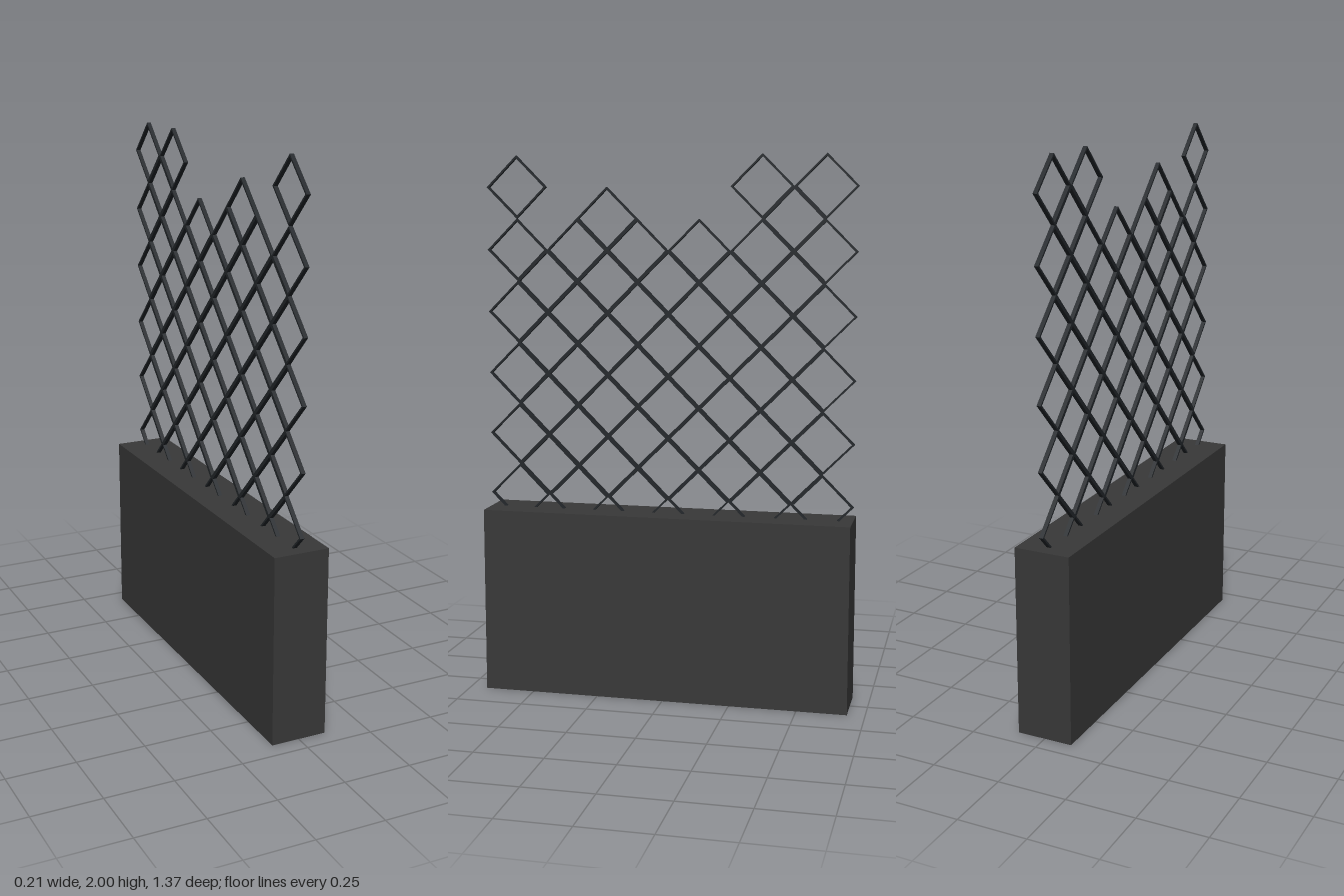
import * as THREE from 'three';

export function createModel() {
  const model = new THREE.Group();
  const boxMaterial = new THREE.MeshStandardMaterial({ color: 0x383838 });
  const wireMaterial = new THREE.MeshStandardMaterial({ color: 0x22262a });

  // Solid planter base
  const planter = new THREE.Mesh(new THREE.BoxGeometry(0.206, 0.692, 1.37), boxMaterial);
  planter.name = 'planterBox';
  planter.position.y = 0.346;
  model.add(planter);

  // One thin diamond frame, extruded across x
  const step = 0.1143; // half diagonal, also the lattice spacing
  const bar = 0.0095; // bar width measured along the diagonal
  const depth = 0.015;
  const diamond = (r) => [[r, 0], [0, r], [-r, 0], [0, -r]].map(([x, y]) => new THREE.Vector2(x, y));
  const shape = new THREE.Shape(diamond(step));
  shape.holes.push(new THREE.Path(diamond(step - bar)));
  const frame = new THREE.ExtrudeGeometry(shape, { depth, bevelEnabled: false });
  frame.translate(0, 0, -depth / 2);
  frame.rotateY(Math.PI / 2);

  // Trellis: columns from front to back, each starting this many steps below the top row
  const trellis = new THREE.Group();
  trellis.name = 'trellis';
  const firstRow = [0, 3, 2, 1, 2, 3, 2, 3, 0, 1, 0];
  firstRow.forEach((first, column) => {
    for (let row = first; row <= 10; row += 2) {
      const link = new THREE.Mesh(frame, wireMaterial);
      link.name = 'trellisDiamond';
      link.position.set(0, 2 - step * (row + 1), (5 - column) * step);
      trellis.add(link);
    }
  });
  model.add(trellis);

  return model;
}
